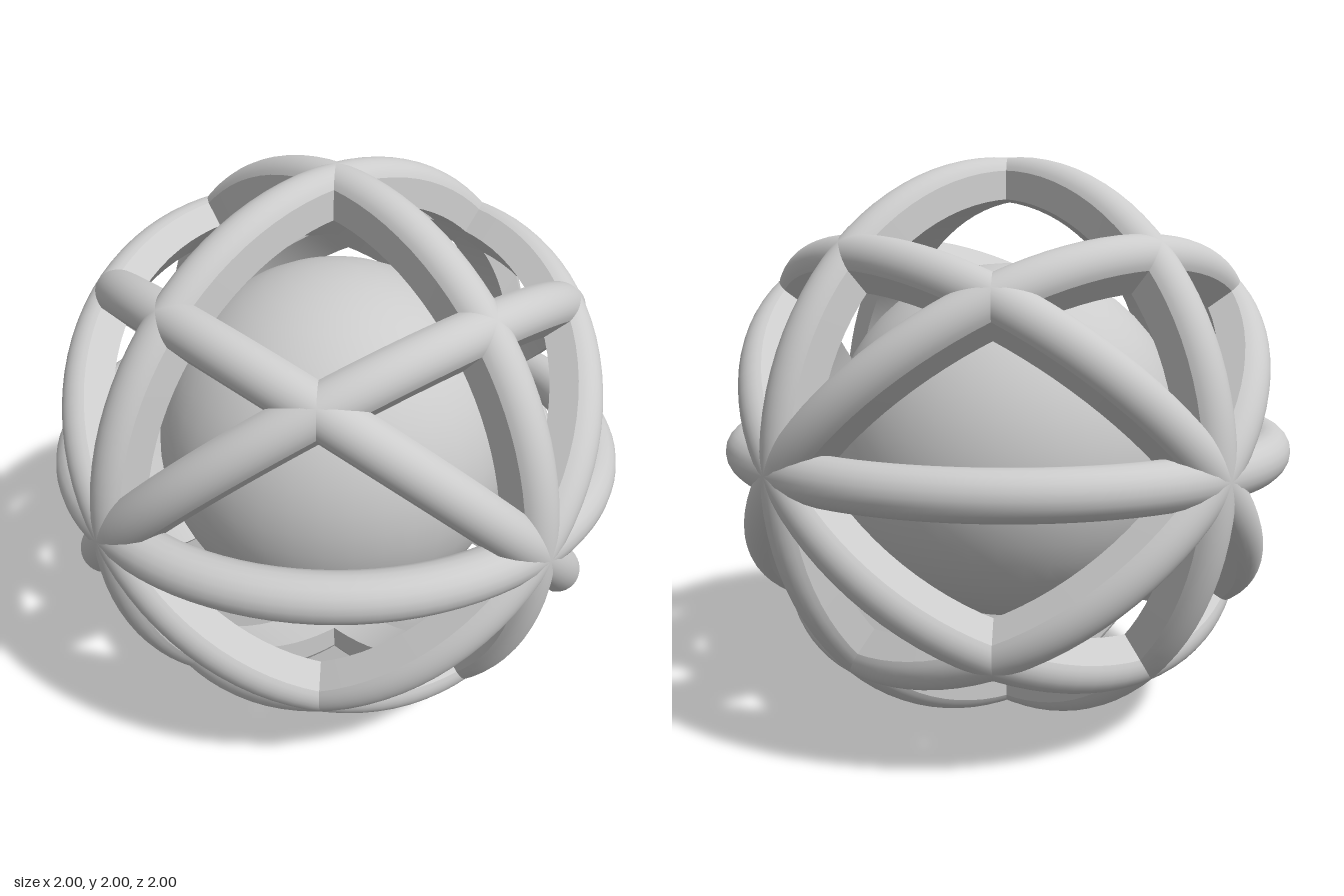
import * as THREE from 'three';
import { toCreasedNormals } from 'three/addons/utils/BufferGeometryUtils.js';

const TUBE = 0.08;          // radius of the rounded outer face
const MID = 1 - TUBE;       // radius of the tube's centre line

// Band with a domed outer face, nearly flat side walls and a flat inner face
function bandGeometry() {
  const pts = [];
  const half = THREE.MathUtils.degToRad(67);
  for (let i = 0; i <= 12; i++) {
    const a = -half + (2 * half * i) / 12;
    pts.push(new THREE.Vector2(MID + TUBE * Math.cos(a), TUBE * Math.sin(a)));
  }
  pts.push(new THREE.Vector2(0.856, 0.078), new THREE.Vector2(0.856, -0.078), pts[0].clone());
  return toCreasedNormals(new THREE.LatheGeometry(pts, 96), 0.35);
}

export function createModel() {
  const group = new THREE.Group();
  const material = new THREE.MeshStandardMaterial({ color: 0xcccccc });

  function add(name, geometry, axis) {
    const mesh = new THREE.Mesh(geometry, material);
    mesh.name = name;
    mesh.position.y = 1;
    if (axis) {
      mesh.quaternion.setFromUnitVectors(
        new THREE.Vector3(0, 1, 0), new THREE.Vector3(...axis).normalize());
    }
    group.add(mesh);
  }

  // Inner ball
  add('coreSphere', new THREE.SphereGeometry(0.637, 40, 24));

  // Round equator ring
  add('equatorRing', new THREE.TorusGeometry(MID, TUBE, 20, 96).rotateX(Math.PI / 2));

  // Upright and diagonal rings, each given by the axis it circles
  const band = bandGeometry();
  const rings = {
    frontUprightRing: [0, 0, 1],
    sideUprightRing: [1, 0, 0],
    leftTiltedRing: [1, 1, 0],
    rightTiltedRing: [-1, 1, 0],
    frontTiltedRing: [0, 1, 1],
    backTiltedRing: [0, 1, -1],
  };
  for (const [name, axis] of Object.entries(rings)) add(name, band, axis);

  return group;
}
